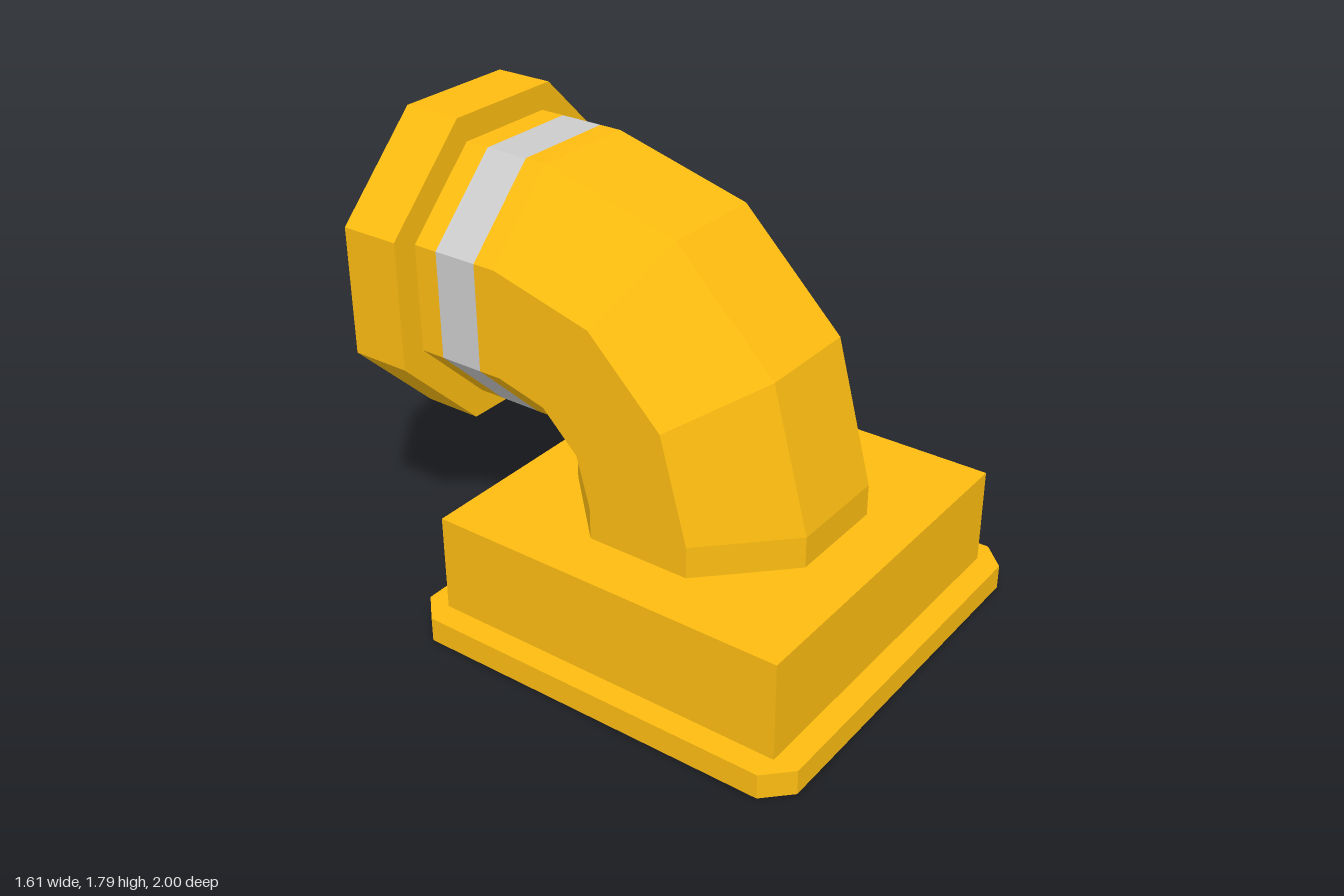
import * as THREE from 'three';

const yellow = new THREE.MeshStandardMaterial({ color: 0xfcbb10, flatShading: true, side: THREE.DoubleSide });
const grey = new THREE.MeshStandardMaterial({ color: 0xcccccc, flatShading: true, side: THREE.DoubleSide });

const SIDES = 8;
const PIPE = 0.497, FLANGE = 0.595;          // flat-to-centre distances
const BEND_R = 0.595, BEND_Y = 0.6, BEND_Z = -0.4, BASE_Z = 0.195;
const PIPE_Y = BEND_Y + BEND_R;

// Octagonal ring at (y, z), tilted about x by angle
function ring(y, z, angle, apothem) {
  const r = apothem / Math.cos(Math.PI / SIDES);
  return Array.from({ length: SIDES }, (_, i) => {
    const a = ((i + 0.5) / SIDES) * Math.PI * 2;
    const s = r * Math.sin(a);
    return new THREE.Vector3(r * Math.cos(a), y + s * Math.sin(angle), z + s * Math.cos(angle));
  });
}
const outlet = (z, apothem = PIPE) => ring(PIPE_Y, z, Math.PI / 2, apothem);

// Open faceted skin through consecutive rings
function loft(rings) {
  const pts = [];
  for (let k = 0; k < rings.length - 1; k++) {
    for (let i = 0; i < SIDES; i++) {
      const j = (i + 1) % SIDES;
      const [a, b, c, d] = [rings[k][i], rings[k + 1][i], rings[k + 1][j], rings[k][j]];
      pts.push(a, b, c, a, c, d);
    }
  }
  const g = new THREE.BufferGeometry().setFromPoints(pts);
  g.computeVertexNormals();
  return g;
}

export function createModel() {
  const model = new THREE.Group();
  const add = (name, geometry, material, x = 0, y = 0, z = 0) => {
    const mesh = new THREE.Mesh(geometry, material);
    mesh.name = name;
    mesh.position.set(x, y, z);
    model.add(mesh);
  };

  // Base plate with cut corners and four octagonal holes
  const w = 0.805, c = 0.095, plateH = 0.097, holeR = 0.1, holeAt = 0.345;
  const plate = new THREE.Shape([
    [w, c - w], [w, w - c], [w - c, w], [c - w, w],
    [-w, w - c], [-w, c - w], [c - w, -w], [w - c, -w],
  ].map(([x, y]) => new THREE.Vector2(x, y)));
  const sockets = [-1, 1].flatMap((sx) => [-1, 1].map((sz) => [sx * holeAt, sz * holeAt]));
  for (const [x, z] of sockets) {
    plate.holes.push(new THREE.Path(Array.from({ length: SIDES }, (_, i) => {
      const a = -((i + 0.5) / SIDES) * Math.PI * 2;
      return new THREE.Vector2(x + holeR * Math.cos(a), z + holeR * Math.sin(a));
    })));
  }
  const plateGeo = new THREE.ExtrudeGeometry(plate, { depth: plateH, bevelEnabled: false });
  plateGeo.rotateX(-Math.PI / 2);
  add('basePlate', plateGeo, yellow, 0, 0, BASE_Z);

  // Grey linings of the holes
  const cup = [[0, plateH - 0.003], [holeR - 0.002, plateH - 0.003], [holeR - 0.002, 0]]
    .map(([x, y]) => new THREE.Vector2(x, y));
  for (const [x, z] of sockets) {
    add('boltSocket', new THREE.LatheGeometry(cup, SIDES, Math.PI / SIDES), grey, x, 0, BASE_Z + z);
  }

  // Block standing on the plate
  const blockH = 0.478 - plateH;
  add('baseBlock', new THREE.BoxGeometry(1.424, blockH, 1.424), yellow, 0, plateH + blockH / 2, BASE_Z);

  // Pipe elbow: short riser, three-step bend, straight run to the band
  const elbow = [ring(0.478, BASE_Z, 0, PIPE)];
  for (let i = 0; i <= 3; i++) {
    const t = (i * Math.PI) / 6;
    elbow.push(ring(BEND_Y + BEND_R * Math.sin(t), BEND_Z + BEND_R * Math.cos(t), t, PIPE));
  }
  elbow.push(outlet(-0.49));
  add('pipeElbow', loft(elbow), yellow);

  // Grey band, then the pipe end stepping out to the open collar
  add('pipeBand', loft([outlet(-0.49), outlet(-0.665)]), grey);
  add('pipeEnd', loft([outlet(-0.665), outlet(-0.763)]), yellow);
  add('collar', loft([outlet(-0.763), outlet(-0.763, FLANGE), outlet(-1, FLANGE)]), yellow);

  return model;
}
